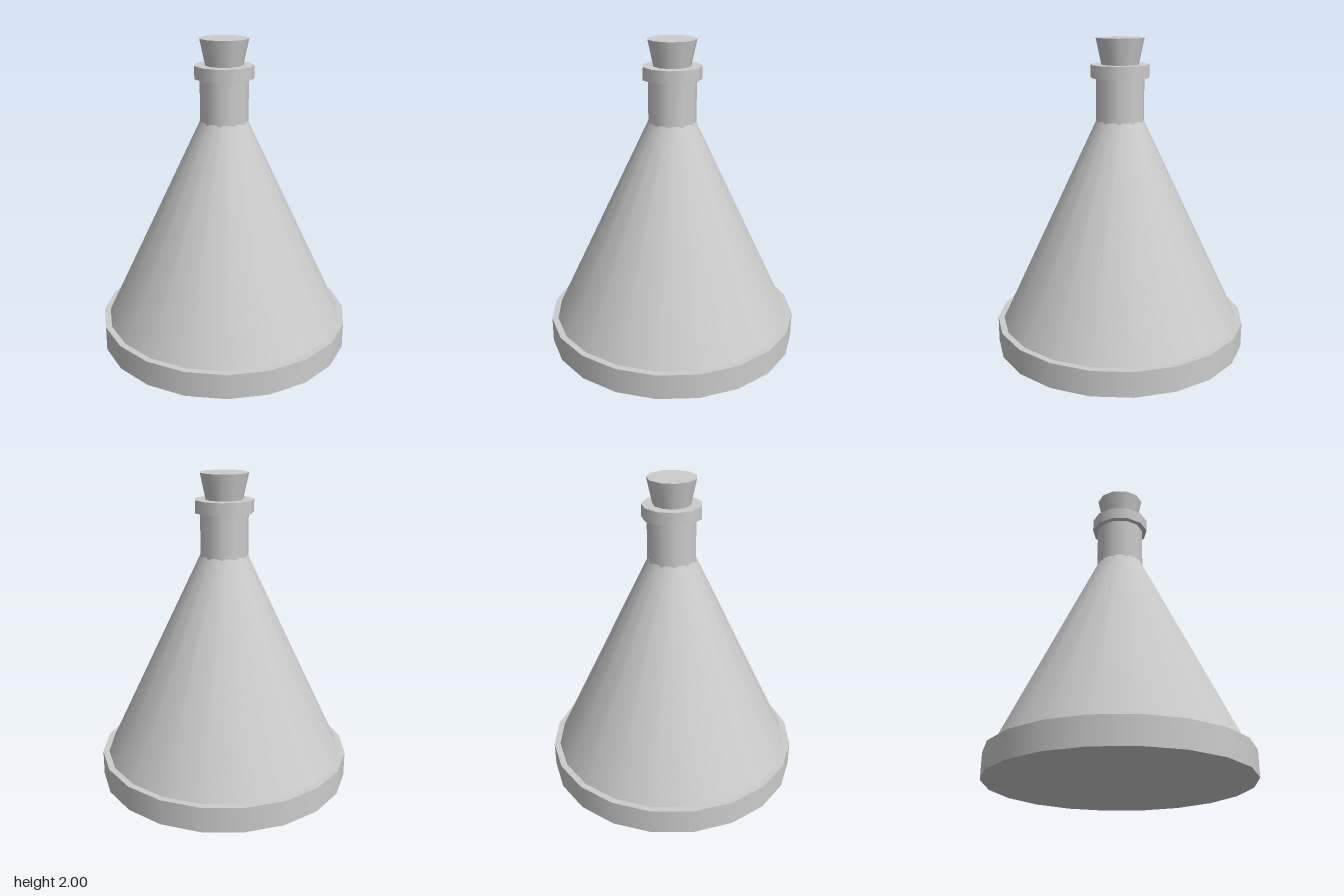
import * as THREE from 'three';

const material = new THREE.MeshStandardMaterial({ color: 0xcccccc });

// Turned section between two heights, smooth around its sides
function section(name, bottomRadius, topRadius, bottom, top, sides, turn = 0) {
  const geometry = new THREE.CylinderGeometry(topRadius, bottomRadius, top - bottom, sides);
  geometry.rotateY(turn);
  geometry.translate(0, (bottom + top) / 2, 0);
  const mesh = new THREE.Mesh(geometry, material);
  mesh.name = name;
  return mesh;
}

export function createModel() {
  const group = new THREE.Group();
  group.name = 'conicalFlask';
  const turn = THREE.MathUtils.degToRad(9);

  group.add(
    // Wide foot and conical body
    section('baseRim', 0.82, 0.82, 0, 0.165, 20),
    section('coneBody', 0.78, 0.15, 0.165, 1.49, 20),
    // Neck, lip and tapered stopper share a coarser outline
    section('neck', 0.154, 0.154, 1.48, 1.76, 11, turn),
    section('neckLip', 0.187, 0.187, 1.757, 1.837, 11, turn),
    section('stopper', 0.115, 0.154, 1.82, 2, 11, turn),
  );
  return group;
}
